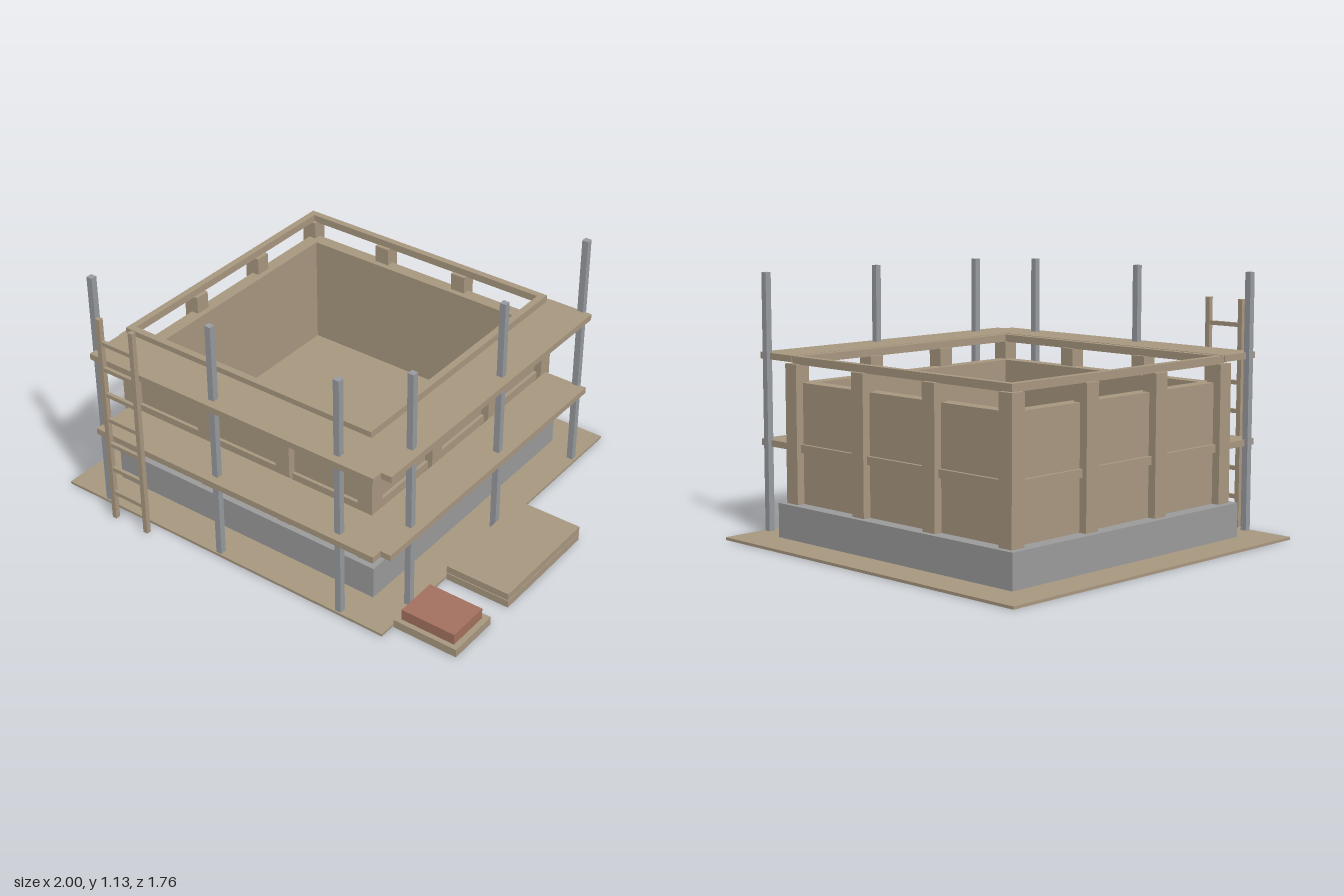
import * as THREE from 'three';

const timber = new THREE.MeshStandardMaterial({ color: 0xa89880 });
timber.name = 'timber';
const concrete = new THREE.MeshStandardMaterial({ color: 0x9b9b9b });
concrete.name = 'concrete';
const steel = new THREE.MeshStandardMaterial({ color: 0x989b9f });
steel.name = 'steel';
const brick = new THREE.MeshStandardMaterial({ color: 0xa3715f });
brick.name = 'brick';

// Box given by its limits on each axis
function box(parent, name, material, [x0, x1], [y0, y1], [z0, z1]) {
  const mesh = new THREE.Mesh(new THREE.BoxGeometry(x1 - x0, y1 - y0, z1 - z0), material);
  mesh.position.set((x0 + x1) / 2, (y0 + y1) / 2, (z0 + z1) / 2);
  mesh.name = name;
  parent.add(mesh);
  return mesh;
}

// Square frame around the building centre, from its outer and inner half widths
const CX = -0.152, CZ = -0.035;
function frame(parent, name, material, outer, inner, y0, y1) {
  const shape = new THREE.Shape();
  shape.moveTo(-outer, -outer).lineTo(outer, -outer).lineTo(outer, outer).lineTo(-outer, outer).closePath();
  const hole = new THREE.Path();
  hole.moveTo(-inner, -inner).lineTo(-inner, inner).lineTo(inner, inner).lineTo(inner, -inner).closePath();
  shape.holes.push(hole);
  const geometry = new THREE.ExtrudeGeometry(shape, { depth: y1 - y0, bevelEnabled: false });
  geometry.rotateX(-Math.PI / 2);
  const mesh = new THREE.Mesh(geometry, material);
  mesh.position.set(CX, y0, CZ);
  mesh.name = name;
  parent.add(mesh);
}

function group(parent, name) {
  const g = new THREE.Group();
  g.name = name;
  parent.add(g);
  return g;
}

export function createModel() {
  const model = new THREE.Group();
  model.name = 'buildingSite';

  // Ground and foundation
  box(model, 'ground', timber, [-1, 0.695], [0, 0.012], [-0.88, 0.81]);
  box(model, 'foundation', concrete, [-0.84, 0.535], [0.004, 0.16], [-0.72, 0.65]);

  // Walls, floor and rails
  const house = group(model, 'house');
  box(house, 'floor', timber, [-0.73, 0.425], [0.15, 0.167], [-0.61, 0.54]);
  frame(house, 'walls', timber, 0.624, 0.564, 0.155, 0.675);
  frame(house, 'middleRail', timber, 0.639, 0.6, 0.38, 0.415);
  frame(house, 'topRail', timber, 0.639, 0.608, 0.752, 0.785);

  // Posts around the walls, four to a side
  const step = [-0.625, -0.208, 0.208, 0.625];
  step.forEach((dx, i) => step.forEach((dz, j) => {
    if (i % 3 && j % 3) return;
    const x = CX + dx, z = CZ + dz;
    box(house, 'wallPost', timber, [x - 0.035, x + 0.035], [0.155, 0.754], [z - 0.035, z + 0.035]);
  }));

  // Scaffold: two levels of decking and steel poles
  const scaffold = group(model, 'scaffold');
  for (const y of [0.38, 0.755]) {
    box(scaffold, 'frontDeck', timber, [-0.775, 0.672], [y, y + 0.028], [0.63, 0.84]);
    box(scaffold, 'sideDeck', timber, [0.512, 0.72], [y, y + 0.028], [-0.657, 0.79]);
  }
  const poles = [[-0.777, 0.79], [-0.153, 0.79], [0.472, 0.79], [0.67, -0.66], [0.67, -0.035], [0.67, 0.59]];
  for (const [x, z] of poles) {
    box(scaffold, 'pole', steel, [x - 0.014, x + 0.014], [0.006, 1.126], [z - 0.014, z + 0.014]);
  }

  // Ladder
  const ladder = group(model, 'ladder');
  for (const x of [-0.679, -0.502]) {
    box(ladder, 'ladderRail', timber, [x - 0.011, x + 0.011], [0, 1], [0.854, 0.876]);
  }
  for (let i = 0; i < 7; i++) {
    const y = 0.135 + i * 0.1255;
    box(ladder, 'rung', timber, [-0.672, -0.51], [y - 0.009, y + 0.009], [0.857, 0.873]);
  }

  // Stacked boards and a pallet of bricks
  const supplies = group(model, 'supplies');
  box(supplies, 'lowerBoard', timber, [0.7, 1], [0.001, 0.034], [-0.182, 0.366]);
  box(supplies, 'upperBoard', timber, [0.7, 1], [0.038, 0.07], [-0.182, 0.366]);
  box(supplies, 'boardSpacer', timber, [0.715, 0.985], [0.03, 0.04], [-0.165, 0.35]);
  box(supplies, 'pallet', timber, [0.7, 1], [0.001, 0.038], [0.492, 0.737]);
  box(supplies, 'bricks', brick, [0.722, 0.975], [0.037, 0.087], [0.518, 0.715]);

  return model;
}
